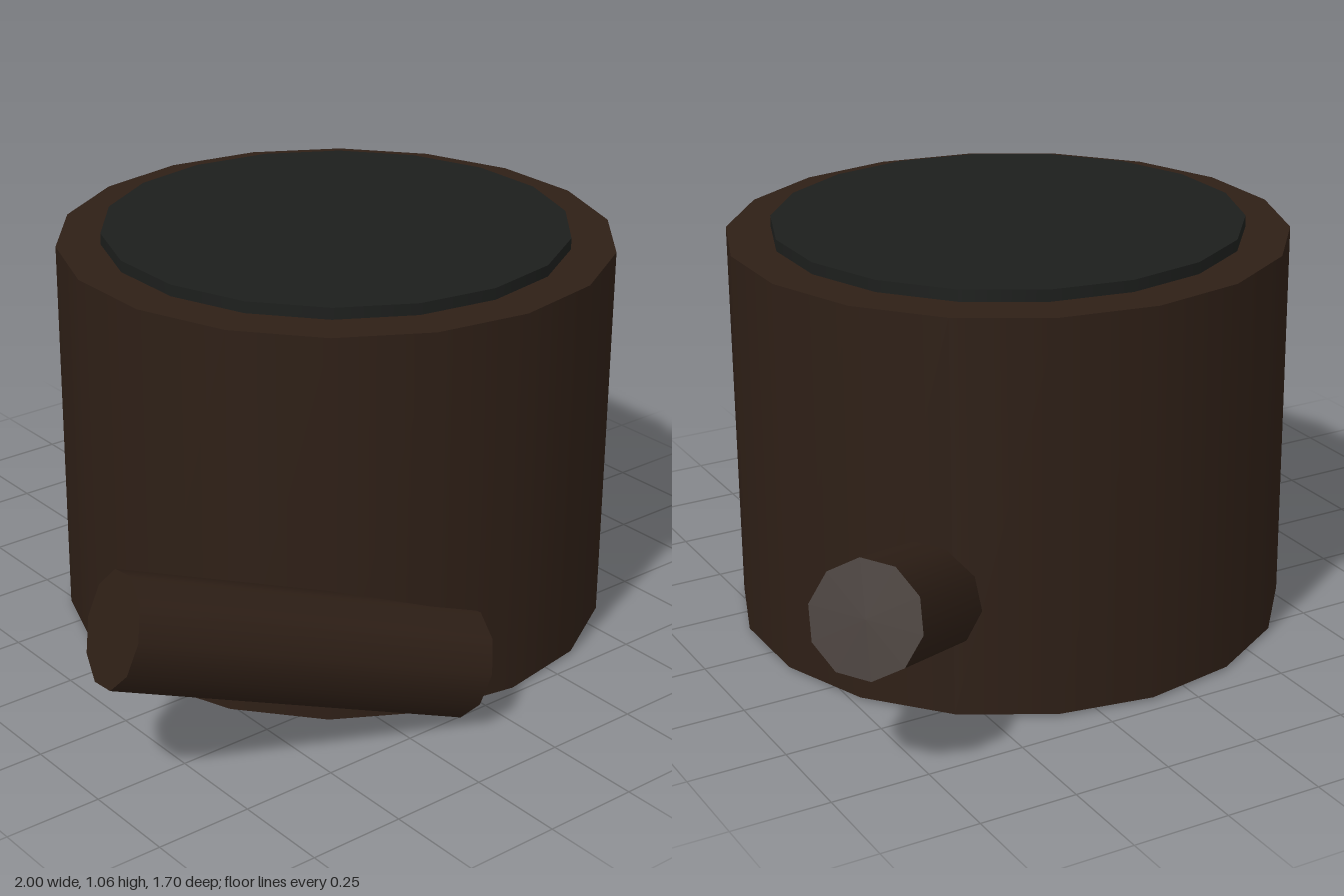
import * as THREE from 'three';

const bark = new THREE.MeshStandardMaterial({ color: 0x2e1f16 });
const cutWood = new THREE.MeshStandardMaterial({ color: 0x1c1e1c });

function cylinder(name, radius, height, sides, material) {
  const mesh = new THREE.Mesh(new THREE.CylinderGeometry(radius, radius, height, sides), material);
  mesh.name = name;
  return mesh;
}

// Straight round root running from its low end to its raised end
function root(name, low, high) {
  const a = new THREE.Vector3(...low);
  const b = new THREE.Vector3(...high);
  const mesh = cylinder(name, 0.14, a.distanceTo(b), 10, bark);
  mesh.position.copy(a).add(b).multiplyScalar(0.5);
  mesh.quaternion.setFromUnitVectors(new THREE.Vector3(0, 1, 0), b.sub(a).normalize());
  return mesh;
}

export function createModel() {
  const model = new THREE.Group();
  model.name = 'treeStump';

  // Trunk
  const trunk = cylinder('trunk', 0.722, 1.02, 18, bark);
  trunk.position.set(0.105, 0.52, 0.015);
  model.add(trunk);

  // Cut face, slightly raised above the bark
  const cutFace = cylinder('cutFace', 0.607, 0.06, 18, cutWood);
  cutFace.position.set(0.105, 1.03, 0.015);
  model.add(cutFace);

  // Roots
  model.add(root('frontRoot', [-0.055, 0.135, 0.715], [-0.945, 0.44, 0.505]));
  model.add(root('backRoot', [0.22, 0.135, -0.11], [0.9, 0.44, -0.75]));

  return model;
}
